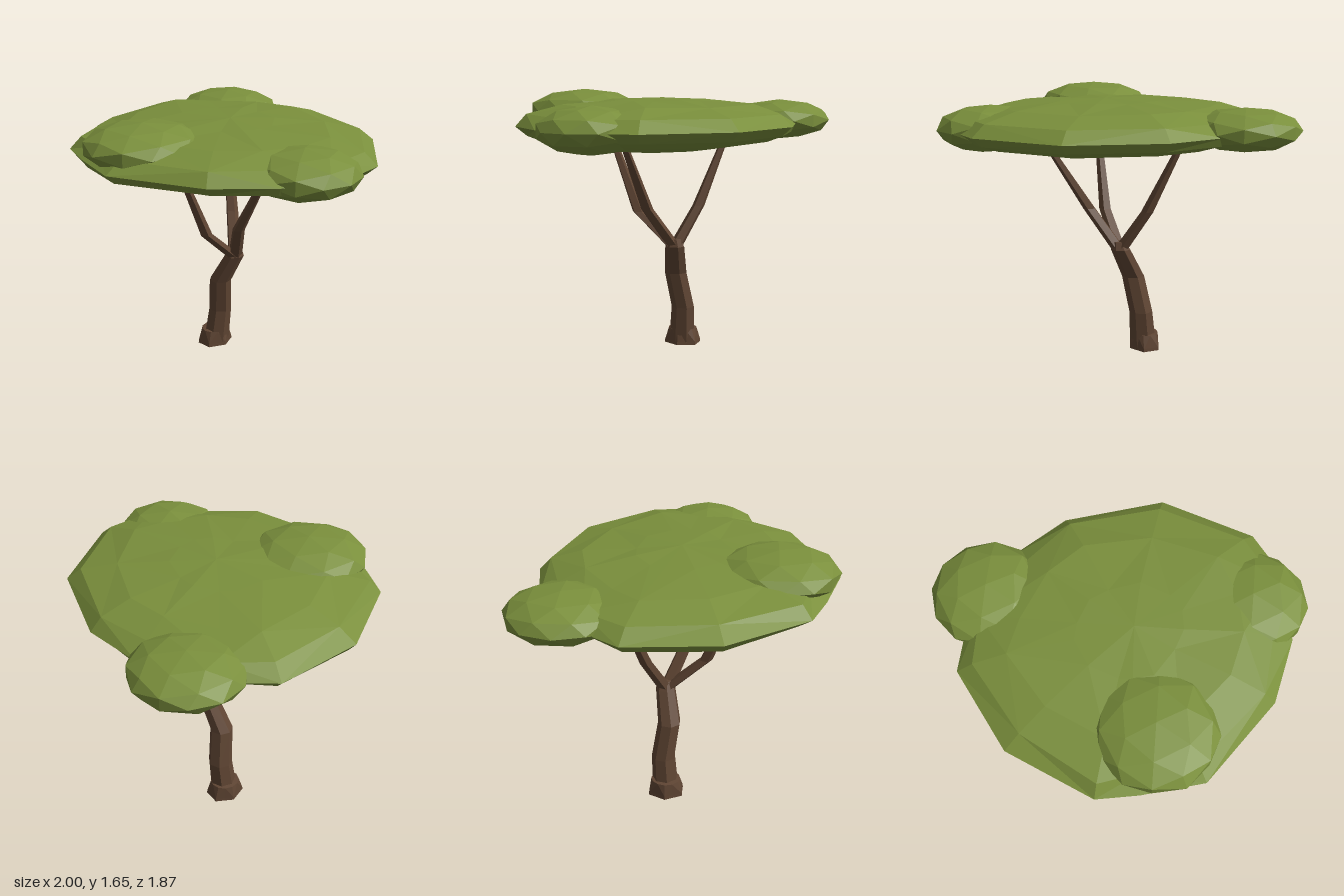
import * as THREE from 'three';

const bark = new THREE.MeshStandardMaterial({ color: 0x5f4533, flatShading: true });
const leaves = new THREE.MeshStandardMaterial({ color: 0x7a8f3c, flatShading: true });

// Skin a stack of equal-sized rings (bottom to top) and close both ends
function loft(rings, bottom, top) {
  const n = rings[0].length, pos = rings.flat(2), idx = [];
  pos.push(...bottom, ...top);
  const b = rings.length * n, t = b + 1, last = (rings.length - 1) * n;
  for (let i = 0; i < n; i++) {
    const k = (i + 1) % n;
    for (let j = 0; j < rings.length - 1; j++) {
      const a = j * n + i, d = a + n, c = (j + 1) * n + k, e = j * n + k;
      if ((i + j) % 2) idx.push(a, d, c, a, c, e);
      else idx.push(a, d, e, d, c, e);
    }
    idx.push(b, i, k, t, last + k, last + i);
  }
  const g = new THREE.BufferGeometry();
  g.setAttribute('position', new THREE.Float32BufferAttribute(pos, 3));
  g.setIndex(idx);
  g.computeVertexNormals();
  return g;
}

// Bent limb through stations [x, y, z, radius]
function limb(stations, sides) {
  const rings = stations.map(([x, y, z, r]) => Array.from({ length: sides }, (_, i) => {
    const a = (i + 0.25) / sides * Math.PI * 2;
    return [x + r * Math.cos(a), y, z + r * Math.sin(a)];
  }));
  return loft(rings, stations[0].slice(0, 3), stations.at(-1).slice(0, 3));
}

export function createModel() {
  const group = new THREE.Group();
  const add = (name, geometry, material) => {
    const mesh = new THREE.Mesh(geometry, material);
    mesh.name = name;
    group.add(mesh);
    return mesh;
  };

  // Leaning trunk
  add('trunk', limb([
    [-0.25, 0.01, -0.09, 0.085], [-0.225, 0.25, -0.105, 0.075],
    [-0.185, 0.48, -0.07, 0.072], [-0.085, 0.67, -0.1, 0.062], [-0.075, 0.72, -0.1, 0.04],
  ], 7), bark);

  // Flared root collar with alternating toes
  const collar = [[0, 0.102, 0.122], [0.02, 0.1, 0.12], [0.1, 0.084, 0.092]].map(([y, rx, rz], j) =>
    Array.from({ length: 12 }, (_, i) => {
      const a = i / 12 * Math.PI * 2, s = i % 2 && j < 2 ? 0.86 : 1;
      return [-0.258 + rx * s * Math.cos(a), y, -0.09 + rz * s * Math.sin(a)];
    }));
  add('rootCollar', loft(collar, [-0.258, 0, -0.09], [-0.25, 0.11, -0.09]), bark);

  // Three branches: bend point and tip
  const branches = {
    backBranch: [[-0.215, 0.92, -0.21], [-0.385, 1.36, -0.335]],
    frontBranch: [[-0.085, 0.88, 0.15], [-0.115, 1.36, 0.35]],
    sideBranch: [[0.075, 0.92, 0.025], [0.355, 1.36, 0.065]],
  };
  for (const [name, [bend, tip]] of Object.entries(branches)) {
    add(name, limb([[-0.08, 0.66, -0.1, 0.046], [...bend, 0.04], [...tip, 0.022]], 5), bark);
  }

  // Wide flat canopy: one rim outline, shrunk towards top and bottom
  const rim = [[0.89, -0.26], [0.93, 0.1], [0.77, 0.42], [0.5, 0.7], [-0.05, 0.93], [-0.4, 0.83],
    [-0.63, 0.74], [-0.95, 0.28], [-1, -0.26], [-0.82, -0.52], [-0.42, -0.78], [-0.05, -0.85], [0.52, -0.7]];
  const layers = [[0.42, 1.295], [0.8, 1.345], [0.94, 1.385], [1, 1.44], [0.9, 1.51], [0.68, 1.565], [0.32, 1.592]];
  const rings = layers.map(([s, y], j) => rim.map(([x, z], i) => {
    const wob = j === 3 ? 0 : 0.03 * Math.sin(i * 2.3 + j * 1.7);
    const k = s * (1 + wob);
    return [-0.05 + (x + 0.05) * k, y + wob * 0.15, z * k];
  }));
  add('canopy', loft(rings, [-0.05, 1.27, 0], [-0.02, 1.605, 0]), leaves);

  // Smaller leaf clumps: centre and half-sizes
  const clumps = {
    frontClump: [[-0.17, 1.52, 0.56], [0.35, 0.13, 0.365]],
    backClump: [[-0.65, 1.455, -0.61], [0.33, 0.127, 0.33]],
    sideClump: [[0.67, 1.44, 0.115], [0.33, 0.14, 0.325]],
  };
  for (const [name, [centre, size]] of Object.entries(clumps)) {
    const mesh = add(name, new THREE.IcosahedronGeometry(1, 1), leaves);
    mesh.position.set(...centre);
    mesh.scale.set(...size);
  }
  return group;
}
